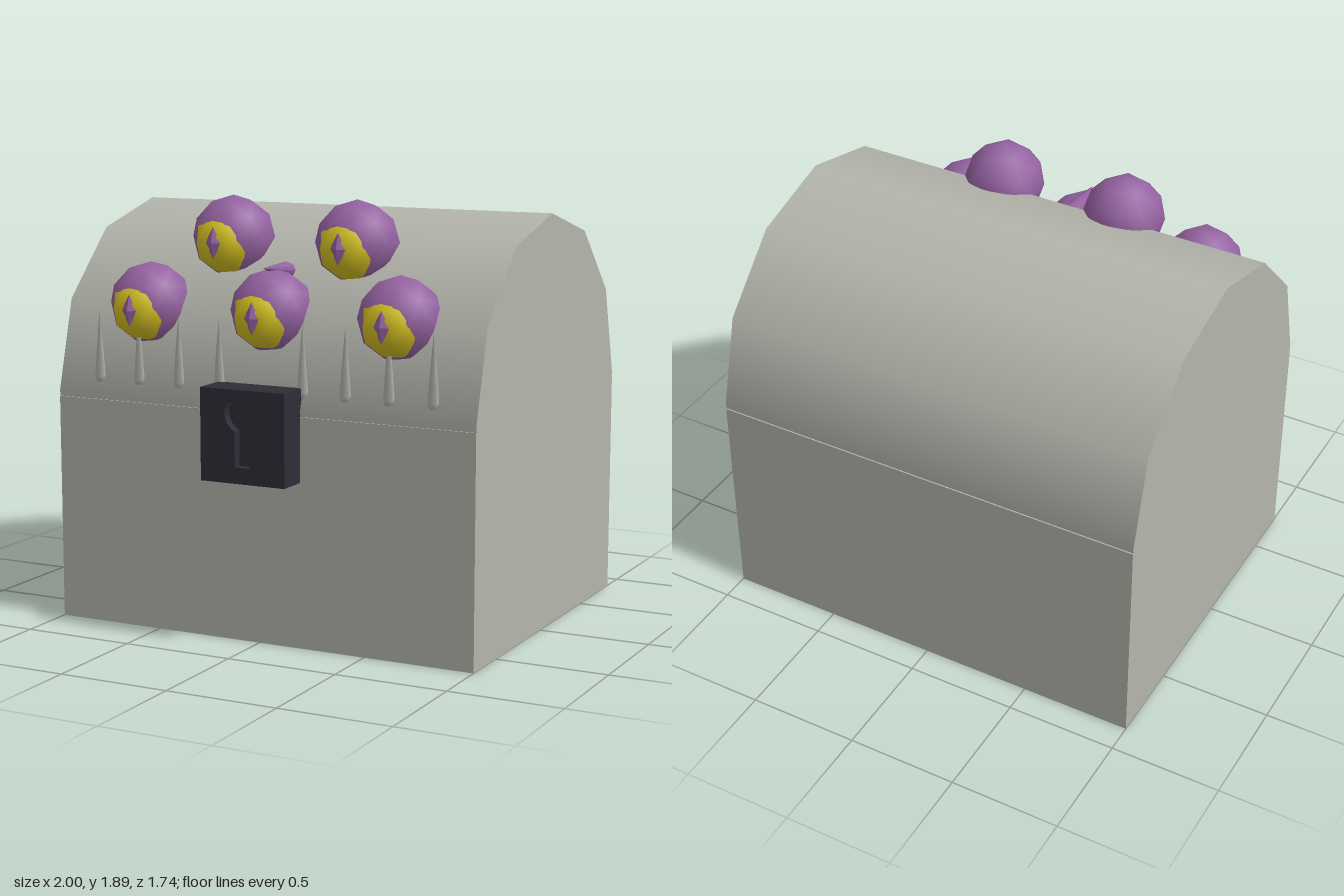
import * as THREE from 'three';

const mat = (name, color) => {
  const m = new THREE.MeshStandardMaterial({ color });
  m.name = name;
  return m;
};

export function createModel() {
  const group = new THREE.Group();
  const stone = mat('stone grey', 0xb4b5ac);
  const purple = mat('eye purple', 0x9563a2);
  const yellow = mat('iris yellow', 0xd6c222);
  const iron = mat('dark iron', 0x2e2e37);

  const add = (name, geometry, material, x, y, z, parent = group) => {
    const m = new THREE.Mesh(geometry, material);
    m.name = name;
    m.position.set(x, y, z);
    parent.add(m);
    return m;
  };

  // Chest: box body and a twelve-sided barrel lid
  add('chestBody', new THREE.BoxGeometry(2, 1, 1.6), stone, 0, 0.5, -0.07);
  const barrel = new THREE.CylinderGeometry(0.8, 0.8, 2, 12).rotateZ(Math.PI / 2);
  add('lid', barrel, stone, 0, 1.023, -0.07);

  // Low-poly ball with one vertex pointing straight up
  const ball = (r) => new THREE.IcosahedronGeometry(r, 1)
    .rotateX(-Math.atan(2 / (1 + Math.sqrt(5))) * -1 - Math.PI / 2 + Math.PI / 2)
    .rotateX(-Math.PI / 2)
    .rotateY(Math.PI / 2);

  // Five eyes: eyeball, bulging iris and diamond pupil
  const eyeball = ball(0.182);
  const iris = ball(0.147);
  const pupil = new THREE.OctahedronGeometry(1).scale(0.038, 0.07, 0.02);
  for (const [x, y, z] of [
    [-0.6, 1.422, 0.597], [0, 1.422, 0.597], [0.6, 1.422, 0.597],
    [-0.3, 1.708, 0.393], [0.3, 1.708, 0.393],
  ]) {
    const eye = new THREE.Group();
    eye.name = 'eye';
    eye.position.set(x, y, z);
    group.add(eye);
    add('eyeball', eyeball, purple, 0, 0, 0, eye);
    add('iris', iris, yellow, 0, -0.014, 0.05, eye);
    add('pupil', pupil, purple, 0, -0.014, 0.184, eye);
  }

  // Spike profile shared by the teeth and the horn, unit height
  const spike = new THREE.LatheGeometry(
    [[0, 0], [0.8, 0.02], [1, 0.09], [0.6, 0.5], [0, 1]].map(([r, h]) => new THREE.Vector2(r, h)), 8);

  // Row of slim upright teeth along the lid's front edge
  const tooth = spike.clone().scale(0.027, 0.32, 0.013);
  for (const side of [-1, 1]) {
    for (const x of [0.2, 0.4, 0.6, 0.8]) add('tooth', tooth, stone, side * x, 1.07, 0.707);
  }

  // Small forward-pointing horn above the middle eye
  const horn = spike.clone().scale(0.05, 0.22, 0.035).rotateX(Math.PI / 2 - 0.12);
  add('horn', horn, purple, 0, 1.583, 0.46);

  // Lock: front slab with a keyhole cut into it, over a solid back
  const face = new THREE.Shape([[-0.2, -0.2], [0.2, -0.2], [0.2, 0.2], [-0.2, 0.2]]
    .map(([x, y]) => new THREE.Vector2(x, y)));
  const keyhole = new THREE.Path();
  const a = Math.asin(0.035 / 0.083);
  keyhole.moveTo(-0.035, -0.13);
  keyhole.lineTo(0.035, -0.13);
  keyhole.absarc(0, 0.098, 0.083, -Math.PI / 2 + a, Math.PI * 1.5 - a, false);
  keyhole.closePath();
  face.holes.push(keyhole);
  const slab = new THREE.ExtrudeGeometry(face, { depth: 0.04, bevelEnabled: false, curveSegments: 8 });
  add('lockFace', slab, iron, 0, 0.92, 0.83);
  add('lockBack', new THREE.BoxGeometry(0.4, 0.4, 0.12), iron, 0, 0.92, 0.77);

  return group;
}
